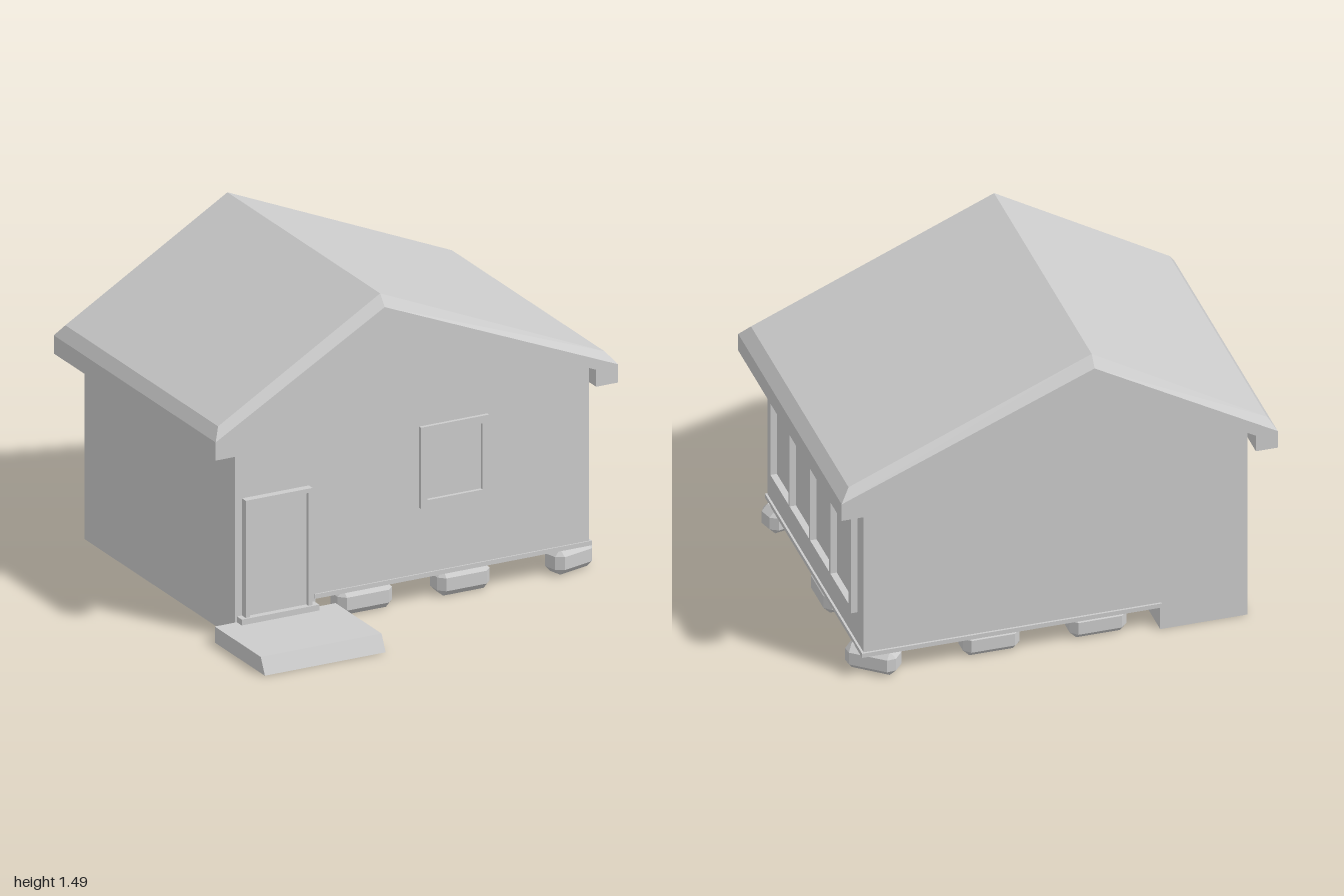
import * as THREE from 'three';
import { ConvexGeometry } from 'three/addons/geometries/ConvexGeometry.js';

const grey = new THREE.MeshStandardMaterial({ color: 0xcccccc, flatShading: true });

function add(group, name, geometry) {
  const mesh = new THREE.Mesh(geometry, grey);
  mesh.name = name;
  group.add(mesh);
  return mesh;
}

// Box given by its lower and upper limits
function box(x0, x1, y0, y1, z0, z1) {
  return new THREE.BoxGeometry(x1 - x0, y1 - y0, z1 - z0)
    .translate((x0 + x1) / 2, (y0 + y1) / 2, (z0 + z1) / 2);
}

// Outline extruded along z from z0 to z1, with optional holes
function extrude(points, z0, z1, holes = []) {
  const toVectors = (list) => list.map(([x, y]) => new THREE.Vector2(x, y));
  const shape = new THREE.Shape(toVectors(points));
  for (const hole of holes) shape.holes.push(new THREE.Path(toVectors(hole)));
  return new THREE.ExtrudeGeometry(shape, { depth: z1 - z0, bevelEnabled: false }).translate(0, 0, z0);
}

const rect = (x0, x1, y0, y1) => [[x0, y0], [x1, y0], [x1, y1], [x0, y1]];

// Bevelled upper skin of the roof, lofted between eave edge and inset ridge lines
function roofCap(z0, z1, inset) {
  const edge = [[-1, 0.955], [-0.16, 1.435], [1, 0.955]];
  const top = [[-0.965, 1.01], [-0.16, 1.485], [0.955, 1.01]];
  const row = (profile, z) => profile.map(([x, y]) => [x, y, z]);
  const [ef, tf, tb, eb] = [row(edge, z1), row(top, z1 - inset), row(top, z0 + inset), row(edge, z0)];
  const positions = [];
  const quad = (a, b, c, d) => positions.push(...a, ...b, ...c, ...a, ...c, ...d);
  for (const [low, high] of [[ef, tf], [tf, tb], [tb, eb]]) {
    for (let i = 0; i < 2; i++) quad(low[i], low[i + 1], high[i + 1], high[i]);
  }
  quad(eb[0], ef[0], tf[0], tb[0]);
  quad(ef[2], eb[2], tb[2], tf[2]);
  const geometry = new THREE.BufferGeometry();
  geometry.setAttribute('position', new THREE.Float32BufferAttribute(positions, 3));
  geometry.computeVertexNormals();
  return geometry;
}

// Rough stone: a box with all its edges cut off
function stone(length, width, height) {
  const [a, b, c] = [length / 2, width / 2, height / 2];
  const cut = 0.03;
  const points = [];
  for (const x of [-1, 1]) for (const y of [-1, 1]) for (const z of [-1, 1]) {
    points.push(
      new THREE.Vector3(x * a, y * (c - cut), z * (b - cut)),
      new THREE.Vector3(x * (a - cut), y * c, z * (b - cut)),
      new THREE.Vector3(x * (a - cut), y * (c - cut), z * b)
    );
  }
  return new ConvexGeometry(points);
}

export function createModel() {
  const house = new THREE.Group();
  house.name = 'house';

  // Walls with a solid base under the left end
  add(house, 'walls', extrude([
    [-0.88, 0], [-0.48, 0], [-0.48, 0.12], [0.88, 0.12],
    [0.88, 0.97], [-0.16, 1.385], [-0.88, 0.97]
  ], -0.89, 0.49));
  add(house, 'sillTrim', box(-0.485, 0.89, 0.116, 0.137, -0.9, 0.497));

  // Roof: gable boards and eaves below, bevelled skin above
  add(house, 'roofBody', extrude([
    [-1, 0.87], [-0.9, 0.87], [-0.9, 0.95], [-0.16, 1.37], [0.89, 0.95],
    [0.89, 0.87], [1, 0.87], [1, 0.955], [-0.16, 1.435], [-1, 0.955]
  ], -0.95, 0.535));
  add(house, 'roofSkin', roofCap(-0.95, 0.535, 0.042));

  // Door, step and sloped entrance slab
  add(house, 'doorFrame', extrude(rect(-0.845, -0.513, 0.09, 0.65), 0.485, 0.525,
    [rect(-0.823, -0.533, 0.1, 0.63)]));
  add(house, 'doorPanel', box(-0.83, -0.525, 0.095, 0.635, 0.48, 0.505));
  add(house, 'doorStep', box(-0.87, -0.485, 0.07, 0.102, 0.48, 0.535));
  const slab = add(house, 'entranceSlab', extrude(
    [[-0.95, 0], [-0.49, 0], [-0.49, 0.075], [-0.912, 0.075]], -0.98, -0.38));
  slab.rotation.y = Math.PI / 2;
  slab.scale.z = 1;

  // Front window
  add(house, 'frontWindowFrame', extrude(rect(0.035, 0.375, 0.445, 0.825), 0.485, 0.507,
    [rect(0.068, 0.342, 0.48, 0.79)]));

  // Row of four side windows
  const panes = [[-0.355, -0.097], [-0.08, 0.197], [0.215, 0.487], [0.505, 0.765]];
  const sideFrame = add(house, 'sideWindowFrame', extrude(rect(-0.39, 0.8, 0.29, 0.775), 0.875, 0.91,
    panes.map(([a, b]) => rect(a, b, 0.32, 0.745))));
  sideFrame.rotation.y = Math.PI / 2;

  // Foundation stones: x, z, turn, length
  const stones = [
    [0.81, -0.81, -0.69, 0.24], [0.28, -0.81, 0, 0.26], [-0.21, -0.81, 0, 0.26],
    [0.82, -0.23, 1.57, 0.24], [0.31, -0.38, 0.25, 0.23], [-0.2, -0.38, 0, 0.26],
    [0.81, 0.43, 0.25, 0.22], [0.23, -0.03, -0.6, 0.22], [-0.25, 0, -1.33, 0.24],
    [0.27, 0.43, 0, 0.26], [-0.22, 0.43, 0, 0.27]
  ];
  const foundation = new THREE.Group();
  foundation.name = 'foundationStones';
  house.add(foundation);
  for (const [x, z, turn, length] of stones) {
    const mesh = add(foundation, 'foundationStone', stone(length, 0.125, 0.12));
    mesh.position.set(x, 0.06, z);
    mesh.rotation.y = turn;
  }

  return house;
}
